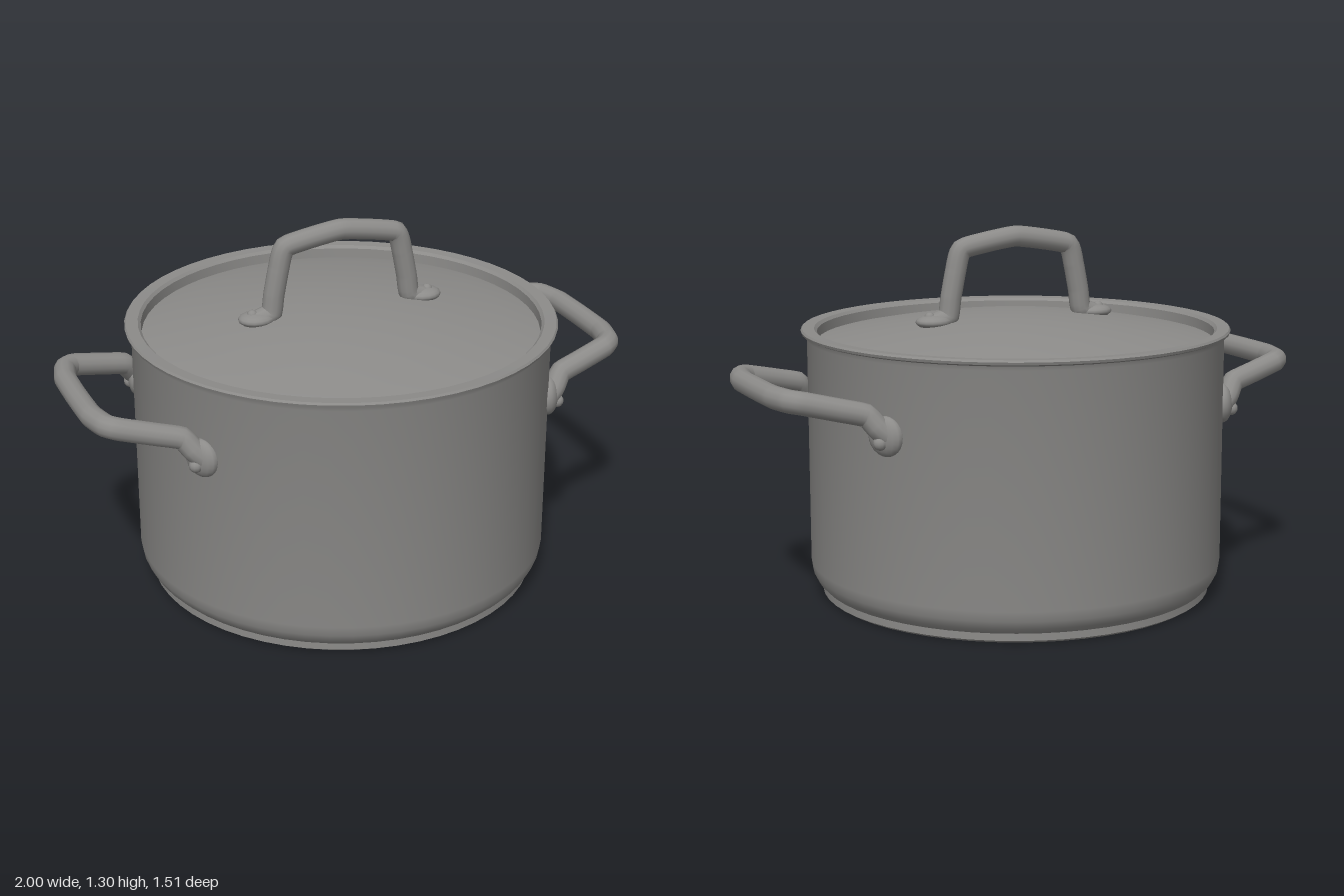
import * as THREE from 'three';
import { toCreasedNormals } from 'three/addons/utils/BufferGeometryUtils.js';

const steel = new THREE.MeshStandardMaterial({ color: 0x8c8b89 });
steel.name = 'brushed steel';

function part(name, geometry, parent) {
  const mesh = new THREE.Mesh(geometry, steel);
  mesh.name = name;
  parent.add(mesh);
  return mesh;
}

// Revolved part; the profile runs from the bottom axis outwards and back in
function lathe(profile, segments = 56) {
  const points = profile.map(([r, y]) => new THREE.Vector2(r, y));
  return toCreasedNormals(new THREE.LatheGeometry(points, segments), 0.6);
}

// Bent rod through a half path, mirrored along one axis
function rod(half, axis, radius) {
  const points = half.map(p => new THREE.Vector3(...p));
  const mirrored = points.filter(p => p[axis] !== 0).map(p => {
    const q = p.clone();
    q[axis] *= -1;
    return q;
  });
  const curve = new THREE.CatmullRomCurve3([...points, ...mirrored.reverse()], false, 'catmullrom', 0.2);
  return new THREE.TubeGeometry(curve, 72, radius, 12);
}

export function createModel() {
  const pot = new THREE.Group();
  pot.name = 'cookingPot';

  // Body with chamfered base, rolled rim and inner wall
  part('potBody', lathe([
    [0, 0], [0.68, 0], [0.695, 0.01], [0.695, 0.035], [0.715, 0.055], [0.73, 0.085], [0.735, 0.12],
    [0.735, 0.915], [0.74, 0.93], [0.754, 0.936], [0.757, 0.945], [0.752, 0.952],
    [0.71, 0.95], [0.7, 0.94], [0.696, 0.86],
  ]), pot);

  // Domed lid seated inside the rim
  const lid = new THREE.Group();
  lid.name = 'lid';
  pot.add(lid);
  part('lidDome', lathe([
    [0, 0.88], [0.698, 0.88], [0.698, 0.905], [0.68, 0.91], [0.58, 0.93], [0.45, 0.953],
    [0.3, 0.975], [0.15, 0.988], [0, 0.992],
  ]), lid);
  part('lidHandle', rod([
    [0.31, 0.975, 0], [0.26, 0.995, 0], [0.25, 1.06, 0], [0.232, 1.15, 0], [0.205, 1.23, 0], [0, 1.265, 0],
  ], 'x', 0.037), lid);

  for (const side of [-1, 1]) {
    // Flattened foot and rivet of the lid handle
    const foot = part('lidHandleFoot', new THREE.SphereGeometry(1, 16, 10), lid);
    foot.scale.set(0.065, 0.025, 0.055);
    foot.position.set(side * 0.315, 0.982, 0);
    const lidRivet = part('lidRivet', new THREE.SphereGeometry(0.02, 12, 8), lid);
    lidRivet.position.set(side * 0.33, 0.996, 0);

    // Side handle, turned around for the other side
    const handle = new THREE.Group();
    handle.name = side > 0 ? 'leftHandle' : 'rightHandle';
    handle.rotation.y = side > 0 ? 0 : Math.PI;
    pot.add(handle);
    part('handleRod', rod([
      [0.635, 0.675, 0.365], [0.665, 0.7, 0.355], [0.7, 0.745, 0.333], [0.78, 0.765, 0.315],
      [0.9, 0.793, 0.285], [0.935, 0.797, 0.25], [0.957, 0.798, 0.16], [0.96, 0.798, 0],
    ], 'z', 0.039), handle);

    for (const end of [-1, 1]) {
      // Flattened mounting pad with rivet, facing outwards from the wall
      const mount = new THREE.Group();
      mount.name = 'handleMount';
      mount.position.set(0.643, 0.675, end * 0.357);
      mount.rotation.y = -end * Math.atan2(0.357, 0.643);
      handle.add(mount);
      const pad = part('mountPad', new THREE.SphereGeometry(1, 16, 12), mount);
      pad.scale.set(0.035, 0.068, 0.068);
      const rivet = part('mountRivet', new THREE.SphereGeometry(0.024, 12, 8), mount);
      rivet.position.set(0.03, -0.018, 0);
    }
  }
  return pot;
}
